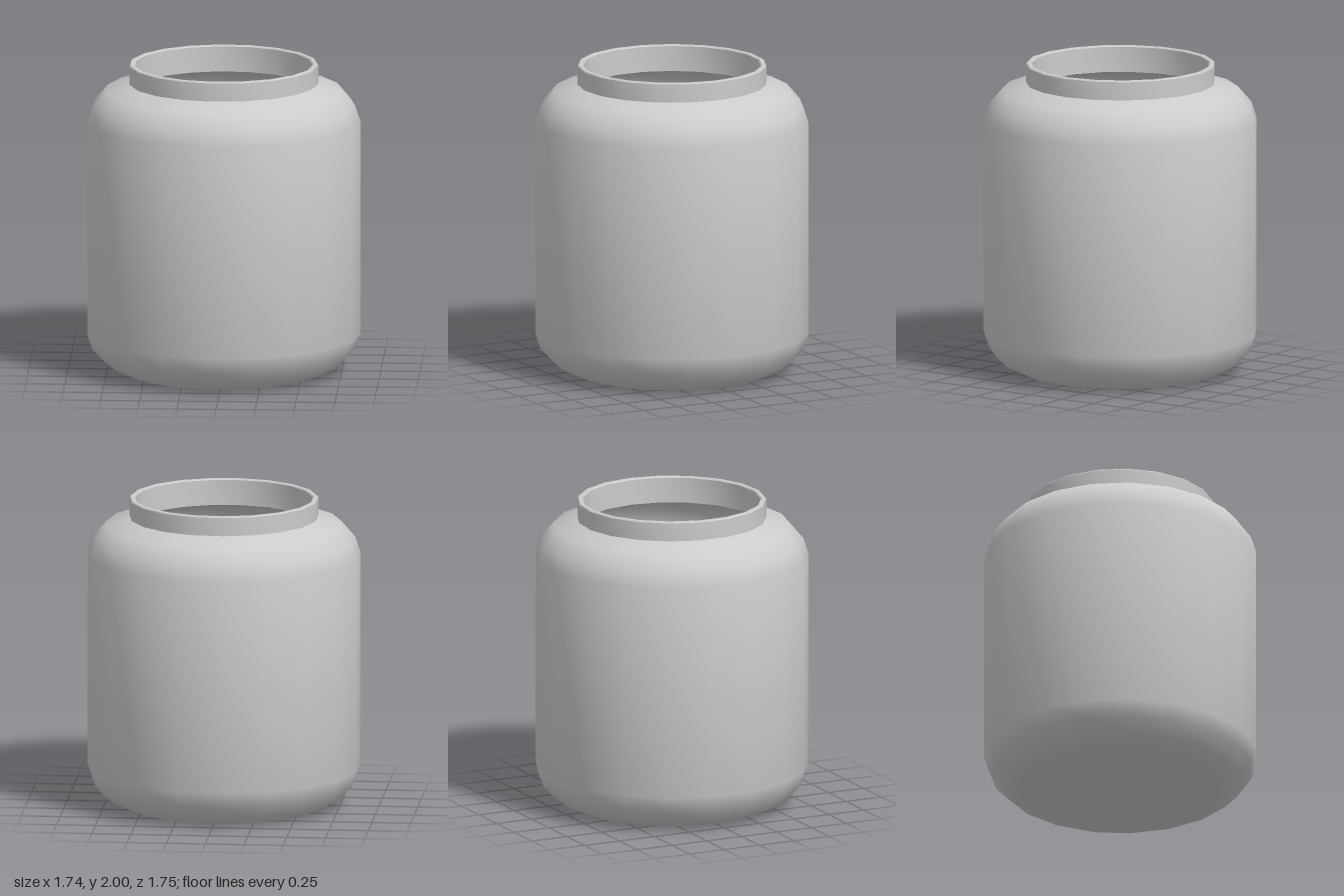
import * as THREE from 'three';
import { toCreasedNormals } from 'three/addons/utils/BufferGeometryUtils.js';

const SIDES = 19;

// Revolve a [radius, height] profile, with one corner of the polygon on +x.
function revolve(name, profile) {
  const points = profile.map(([r, y]) => new THREE.Vector2(r, y));
  const lathe = new THREE.LatheGeometry(points, SIDES, Math.PI / 2);
  const mesh = new THREE.Mesh(
    toCreasedNormals(lathe, THREE.MathUtils.degToRad(40)),
    new THREE.MeshStandardMaterial({ color: 0xcccccc })
  );
  mesh.name = name;
  return mesh;
}

export function createModel() {
  const jar = new THREE.Group();
  jar.name = 'jar';

  // Hollow jar: base, wall, shoulder, neck, rim, then back down the inside
  jar.add(revolve('jarShell', [
    [0, 0], [0.63, 0], [0.757, 0.06], [0.843, 0.15], [0.876, 0.25],
    [0.876, 1.63], [0.843, 1.73], [0.757, 1.83], [0.62, 1.868],
    [0.606, 1.875], [0.606, 1.993], [0.6, 2], [0.577, 2], [0.57, 1.993],
    [0.57, 1.83], [0.73, 1.79], [0.805, 1.71], [0.84, 1.61],
    [0.84, 0.27], [0.805, 0.18], [0.73, 0.09], [0.61, 0.04], [0, 0.04],
  ]));

  // Contents filling the jar up to the start of the shoulder
  jar.add(revolve('contents', [
    [0, 0.05], [0.6, 0.05], [0.72, 0.1], [0.795, 0.19], [0.83, 0.28],
    [0.83, 1.59], [0, 1.59],
  ]));

  // An odd number of sides is off-centre by half the corner-to-flat difference
  jar.position.x = -0.006;
  const model = new THREE.Group();
  model.add(jar);
  return model;
}
